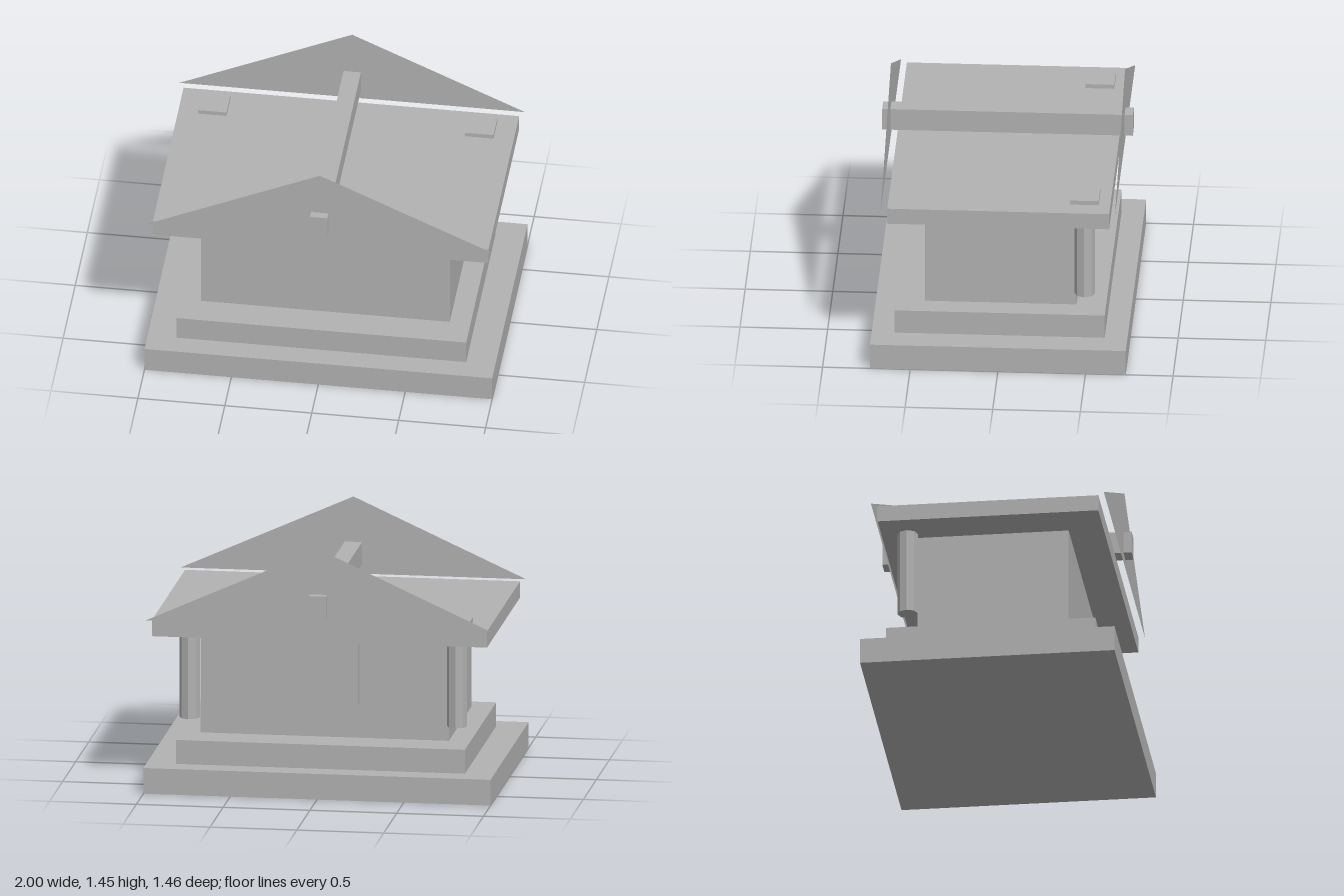
import * as THREE from 'three';

export function createModel() {
  const model = new THREE.Group();
  model.name = 'temple';
  const stone = new THREE.MeshStandardMaterial({ color: 0xb2b2b2, flatShading: true, side: THREE.DoubleSide });
  stone.name = 'stone grey';

  const add = (name, geometry, x, y, z) => {
    const mesh = new THREE.Mesh(geometry, stone);
    mesh.name = name;
    mesh.position.set(x, y, z);
    model.add(mesh);
    return mesh;
  };
  // Box given by its width, bottom, top, depth and centre
  const block = (name, w, y0, y1, d, x = 0, z = 0) =>
    add(name, new THREE.BoxGeometry(w, y1 - y0, d), x, (y0 + y1) / 2, z);

  // Stepped base, hall and flat roof slab
  block('lowerStep', 2, 0, 0.15, 1.46);
  block('upperStep', 1.665, 0.15, 0.29, 1.2);
  block('hall', 1.43, 0.3, 0.9, 0.866);
  block('roofSlab', 1.93, 0.9, 0.995, 1.266);

  // Ridge beam running through both gables
  block('ridgeBeam', 0.1, 1.055, 1.185, 1.43);

  // Thin triangular gables at front and back
  const triangle = new THREE.Shape([
    new THREE.Vector2(-0.995, 0),
    new THREE.Vector2(0.995, 0),
    new THREE.Vector2(0, 0.45),
  ]);
  const gable = new THREE.ShapeGeometry(triangle);
  add('frontGable', gable, 0, 1, 0.668);
  add('backGable', gable, 0, 1, -0.668).rotation.y = Math.PI;

  // Door panel on the back wall
  block('backDoor', 0.4, 0.5, 0.89, 0.046, 0, -0.462);

  // Eight-sided back columns with a pad above each
  for (const side of [-1, 1]) {
    const label = side > 0 ? 'left' : 'right';
    add(label + 'Column', new THREE.CylinderGeometry(0.058, 0.058, 0.5, 8), side * 0.77, 0.65, -0.483);
    block(label + 'RoofPad', 0.163, 0.995, 1.02, 0.163, side * 0.768, -0.485);
  }

  return model;
}
